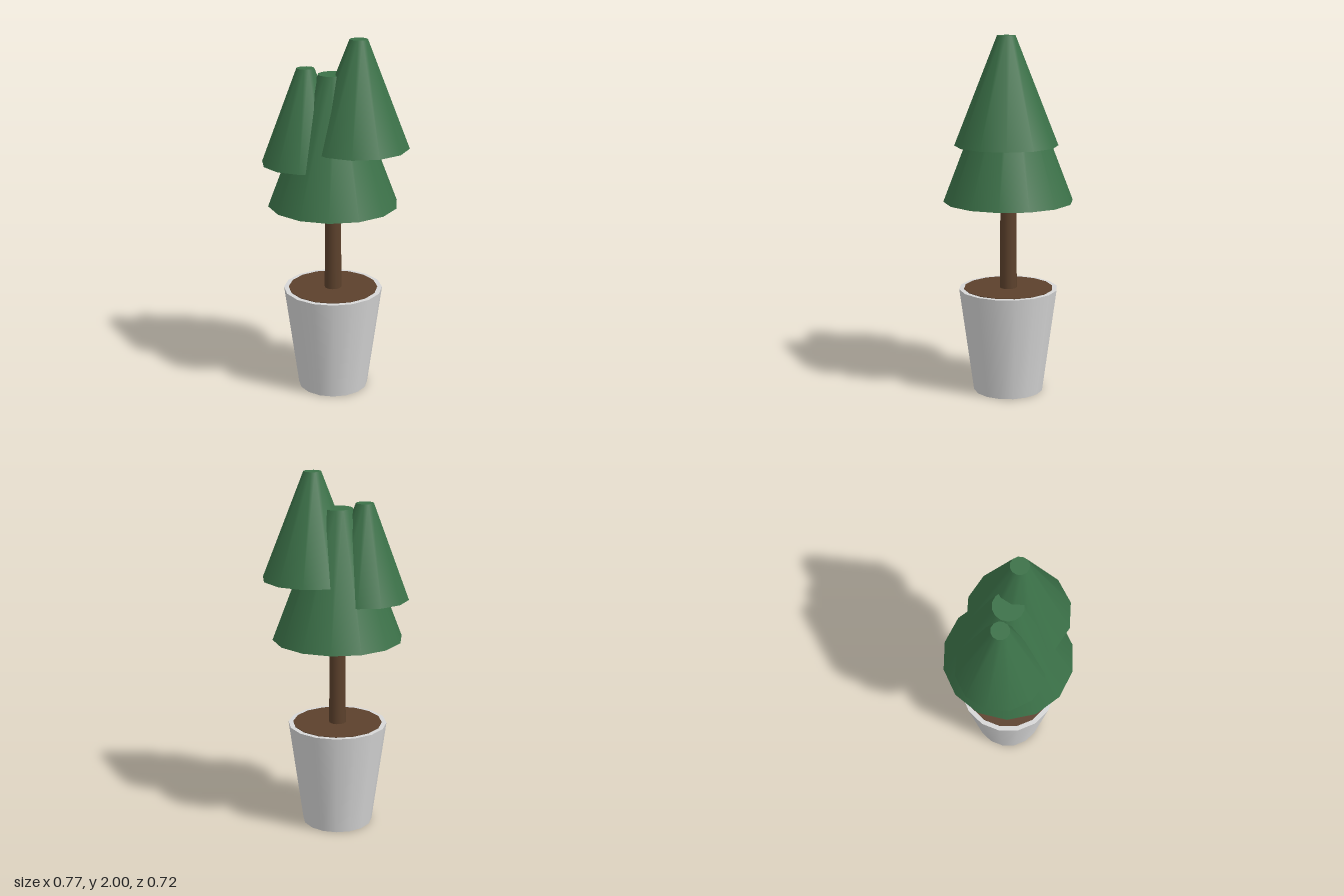
import * as THREE from 'three';

export function createModel() {
  const tree = new THREE.Group();
  tree.name = 'pottedTree';

  const material = (name, color) => {
    const m = new THREE.MeshStandardMaterial({ color });
    m.name = name;
    return m;
  };
  const potGrey = material('potGrey', 0xd6d6d6);
  const barkBrown = material('barkBrown', 0x5c412c);
  const leafGreen = material('leafGreen', 0x3b7148);

  // Upright tapered cylinder spanning y0 to y1, centred on (x, z)
  const taper = (name, mat, x, z, y0, y1, rBottom, rTop, sides) => {
    const geo = new THREE.CylinderGeometry(rTop, rBottom, y1 - y0, sides);
    const mesh = new THREE.Mesh(geo, mat);
    mesh.name = name;
    mesh.position.set(x, (y0 + y1) / 2, z);
    tree.add(mesh);
  };

  const cx = -0.009; // the stem sits slightly off centre

  // Pot, with a thin disc of soil on top
  taper('pot', potGrey, cx, 0, 0, 0.59, 0.197, 0.277, 16);
  taper('soil', barkBrown, cx, 0, 0.588, 0.593, 0.25, 0.25, 16);

  // Trunk, reaching into the foliage
  taper('trunk', barkBrown, cx, 0, 0.585, 1.2, 0.048, 0.043, 12);

  // Three overlapping blunt cones of foliage
  taper('mainFoliage', leafGreen, cx, 0, 1.087, 1.808, 0.36, 0.082, 14);
  taper('frontFoliage', leafGreen, 0.105, 0.08, 1.415, 2, 0.28, 0.049, 12);
  taper('backFoliage', leafGreen, -0.14, -0.067, 1.316, 1.838, 0.245, 0.049, 12);

  return tree;
}
